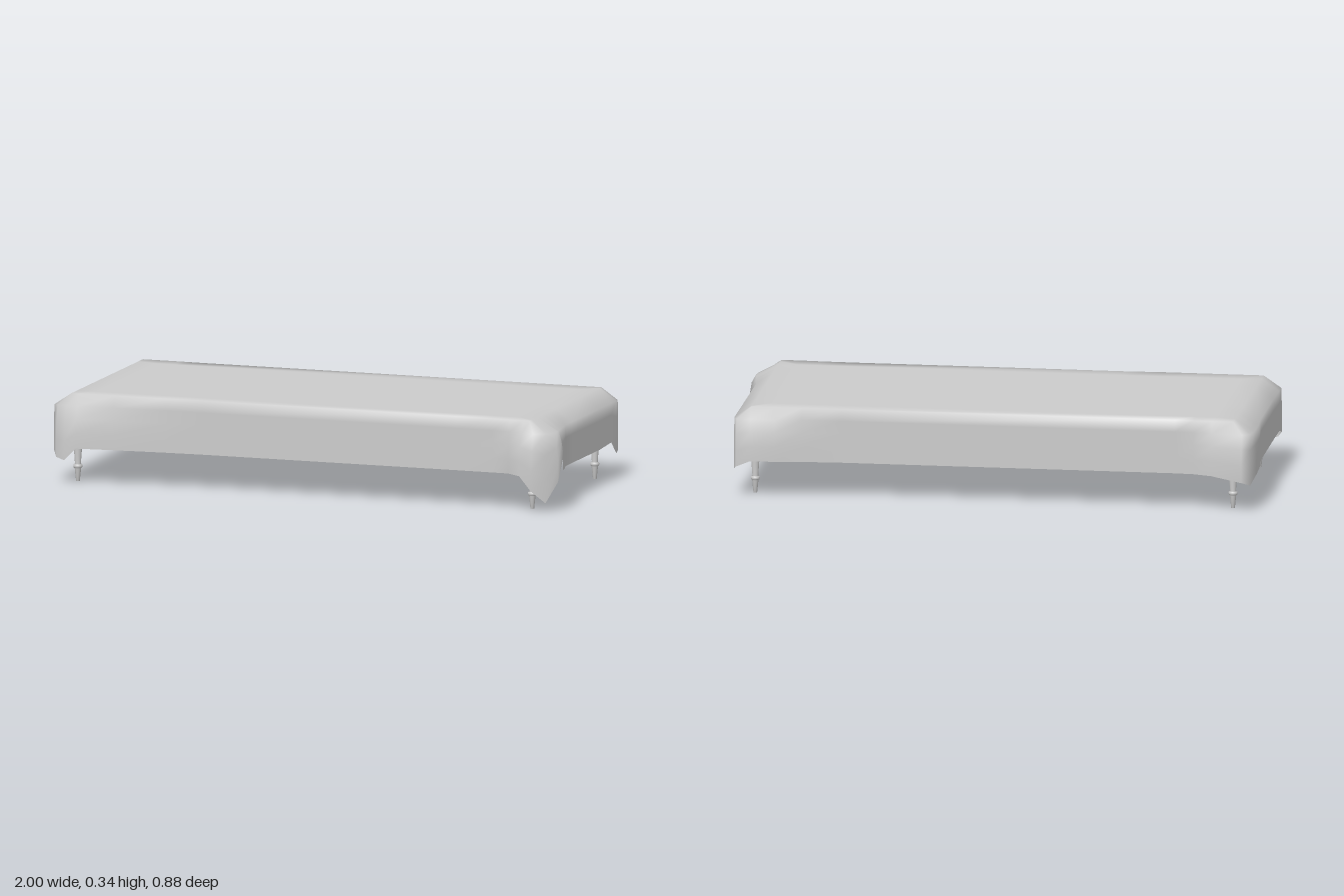
import * as THREE from 'three';
import { mergeVertices } from 'three/addons/utils/BufferGeometryUtils.js';

const TOP = 0.338;
const SHOULDER = 0.293;
const clamp = THREE.MathUtils.clamp;

// Hem of the cloth as [x, height, z], corner by corner, anticlockwise from above
const HEM = [
  // front left corner, with the long hanging tip
  [0.6, 0.135, 0.38], [0.74, 0.135, 0.382], [0.81, 0.138, 0.4], [0.865, 0.137, 0.436],
  [0.91, 0.08, 0.43], [0.955, 0.033, 0.395], [0.992, 0.11, 0.36], [1, 0.19, 0.33],
  [0.99, 0.145, 0.3], [0.975, 0.14, 0.24], [0.957, 0.138, 0.18], [0.955, 0.138, 0.1],
  // back left corner
  [0.955, 0.138, -0.2], [0.955, 0.145, -0.33], [0.955, 0.095, -0.385], [0.953, 0.105, -0.412],
  [0.943, 0.115, -0.434], [0.89, 0.138, -0.442], [0.8, 0.138, -0.437], [0.7, 0.136, -0.415],
  [0.55, 0.135, -0.402],
  // back right corner
  [-0.7, 0.135, -0.4], [-0.77, 0.135, -0.405], [-0.84, 0.135, -0.428], [-0.955, 0.115, -0.441],
  [-0.985, 0.1, -0.41], [-1, 0.13, -0.35], [-1, 0.14, -0.25], [-0.987, 0.138, -0.15],
  // front right corner
  [-0.985, 0.138, 0.2], [-0.988, 0.142, 0.33], [-0.988, 0.125, 0.39], [-0.97, 0.1, 0.415],
  [-0.935, 0.09, 0.424], [-0.89, 0.137, 0.425], [-0.75, 0.136, 0.406], [-0.55, 0.135, 0.386],
  [-0.4, 0.135, 0.38],
];

// Cloth: rings from the flat top, over the edge and down to the wavy hem
function clothGeometry() {
  const n = HEM.length;
  const rings = [];
  // flat top rings, by their inset
  for (const inset of [0.07, 0]) {
    rings.push(HEM.map(([x, , z]) => [
      clamp(x, -0.92 + inset, 0.89 - inset), TOP, clamp(z, -0.402 + inset, 0.386 - inset)]));
  }
  // hanging rings, [share of the drop, share of the corner bulge]
  for (const [drop, bulge] of [[0, 0.5], [0.3, 0.87], [0.65, 1], [1, 1]]) {
    rings.push(HEM.map(([hx, hy, hz]) => {
      const x = clamp(hx, -0.985, 0.955), z = clamp(hz, -0.4, 0.38);
      return [x + (hx - x) * bulge, SHOULDER + (hy - SHOULDER) * drop, z + (hz - z) * bulge];
    }));
  }
  const index = [];
  const centre = rings.length * n;
  for (let i = 0; i < n; i++) {
    const j = (i + 1) % n;
    index.push(centre, i, j);
    for (let r = 0; r < rings.length - 1; r++) {
      const a = r * n + i, b = r * n + j;
      index.push(a, a + n, b, b, a + n, b + n);
    }
  }
  const geometry = new THREE.BufferGeometry();
  geometry.setAttribute('position',
    new THREE.Float32BufferAttribute([...rings.flat(2), -0.015, TOP, -0.01], 3));
  geometry.setIndex(index);
  const merged = mergeVertices(geometry, 1e-4);
  merged.computeVertexNormals();
  return merged;
}

// Turned leg: tapered foot, ring, tapered shaft, collar and flared head
function legGeometry() {
  const profile = [
    [0, 0], [0.007, 0], [0.012, 0.048], [0.016, 0.051], [0.017, 0.056], [0.016, 0.062],
    [0.011, 0.065], [0.018, 0.16], [0.016, 0.164], [0.016, 0.168], [0.019, 0.172],
    [0.019, 0.18], [0.018, 0.185], [0.026, 0.29],
  ];
  return new THREE.LatheGeometry(profile.map(([r, y]) => new THREE.Vector2(r, y)), 20);
}

export function createModel() {
  const group = new THREE.Group();
  const grey = new THREE.MeshStandardMaterial({ color: 0xcccccc });
  const clothGrey = new THREE.MeshStandardMaterial({ color: 0xcccccc, side: THREE.DoubleSide });

  const add = (name, geometry, material, x = 0, y = 0, z = 0) => {
    const mesh = new THREE.Mesh(geometry, material);
    mesh.name = name;
    mesh.position.set(x, y, z);
    group.add(mesh);
  };

  add('tablecloth', clothGeometry(), clothGrey);
  add('tableTop', new THREE.BoxGeometry(1.86, 0.03, 0.76), grey, -0.015, 0.302, -0.01);

  const leg = legGeometry();
  for (const [side, x] of [['Left', 0.882], ['Right', -0.912]]) {
    add(`front${side}Leg`, leg, grey, x, 0, 0.336);
    add(`back${side}Leg`, leg, grey, x, 0, -0.352);
  }
  return group;
}
